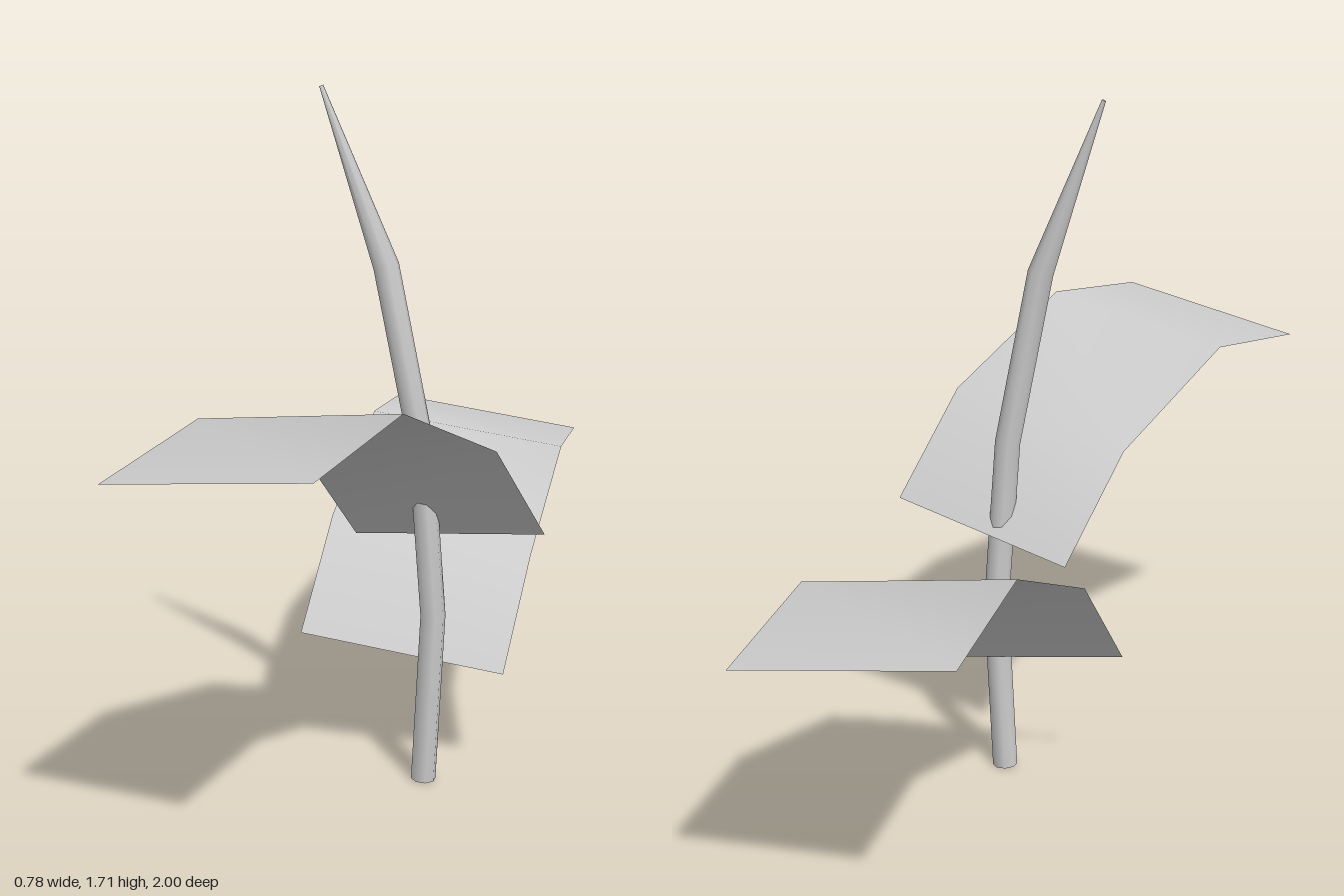
import * as THREE from 'three';

const V = (x, y, z) => new THREE.Vector3(x, y, z);
const material = new THREE.MeshStandardMaterial({ color: 0xcccccc, side: THREE.DoubleSide });

// Surface through rows of points, all rows the same length
function loft(rows) {
  const n = rows[0].length, index = [];
  for (let i = 0; i < rows.length - 1; i++)
    for (let j = 0; j < n - 1; j++) {
      const a = i * n + j, b = a + n;
      index.push(a, a + 1, b, a + 1, b + 1, b);
    }
  const g = new THREE.BufferGeometry().setFromPoints(rows.flat());
  g.setIndex(index);
  g.computeVertexNormals();
  return g;
}

// Leaf: a bent strip given by its right-hand edge and one vector across its width
function leaf(name, edge, across) {
  const rows = edge.map(p => [p, p.clone().add(across)]);
  const mesh = new THREE.Mesh(loft(rows), material);
  mesh.name = name;
  return mesh;
}

// Stem: eight-sided rings set square to a bent centre line, tapering to the tip
function stem() {
  const path = [V(0.086, 0.004, 0.021), V(0.11, 0.44, 0.026), V(0.08, 0.87, 0.032),
    V(-0.005, 1.3, 0.035), V(-0.16, 1.715, 0.035)];
  const radii = [0.031, 0.031, 0.031, 0.031, 0.005];
  const sides = 8, last = path.length - 1;
  const rings = path.map((p, i) => {
    const t = path[Math.min(i + 1, last)].clone().sub(path[Math.max(i - 1, 0)]).normalize();
    const u = V(0, 0, 1).cross(t).normalize(), w = t.clone().cross(u);
    return Array.from({ length: sides + 1 }, (_, j) => {
      const a = (j / sides) * Math.PI * 2 + Math.PI / 8;
      return p.clone().addScaledVector(u, Math.cos(a) * radii[i]).addScaledVector(w, Math.sin(a) * radii[i]);
    });
  });
  const group = new THREE.Group();
  group.name = 'stem';
  const tube = new THREE.Mesh(loft(rings), material);
  tube.name = 'stemTube';
  group.add(tube);
  // End caps
  [0, last].forEach(i => {
    const centre = rings[i].map(() => path[i].clone());
    const cap = new THREE.Mesh(loft(i ? [rings[i], centre] : [centre, rings[i]]), material);
    cap.name = i ? 'stemTip' : 'stemBase';
    group.add(cap);
  });
  return group;
}

export function createModel() {
  const model = new THREE.Group();
  model.name = 'sprout';
  model.add(
    stem(),
    leaf('frontLeaf',
      [V(-0.11, 0.605, -0.065), V(-0.19, 0.853, 0.12), V(-0.308, 1.03, 0.505), V(-0.39, 0.98, 0.88)]
        .reverse(), V(0.497, 0.073, 0.117)),
    leaf('backLeaf',
      [V(-0.232, 0.358, 0.015), V(-0.205, 0.609, -0.18), V(-0.205, 0.782, -0.585), V(-0.236, 0.733, -0.97)],
      V(0.51, -0.072, -0.031))
  );
  return model;
}
